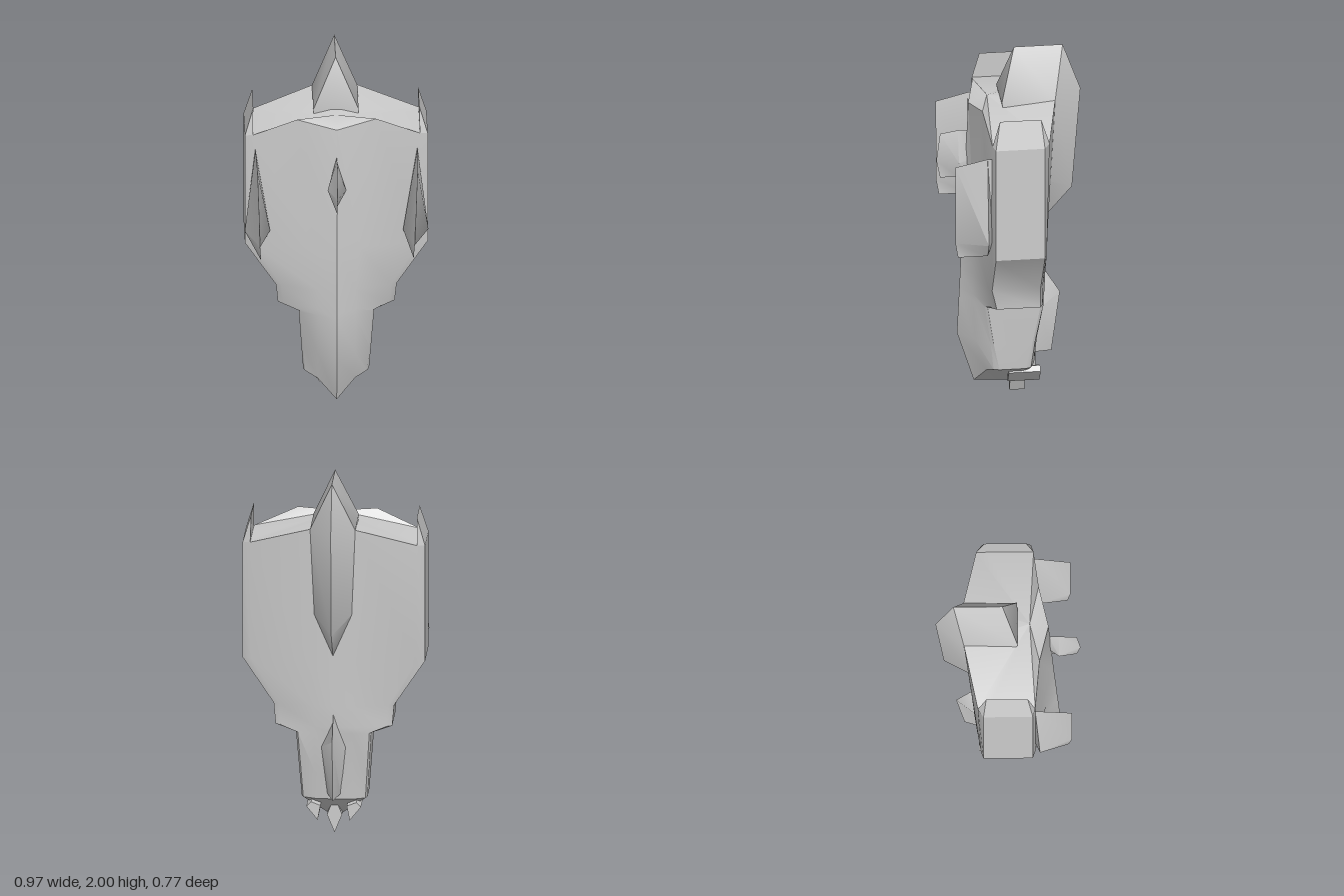
import * as THREE from 'three';
import { toCreasedNormals } from 'three/addons/utils/BufferGeometryUtils.js';

const material = new THREE.MeshStandardMaterial({ color: 0xcccccc, side: THREE.DoubleSide });

function addMesh(parent, name, geometry) {
  const mesh = new THREE.Mesh(geometry, material);
  mesh.name = name;
  parent.add(mesh);
}

// Skin rings (top to bottom, each counter-clockwise seen from above), with optional end fans
function loft(rings, crease, topApex, bottomApex) {
  const pos = [];
  const tri = (a, b, c) => {
    const [p, q, r] = [a, b, c].map((v) => new THREE.Vector3(...v));
    if (q.sub(p).cross(r.sub(p)).length() > 1e-7) pos.push(...a, ...b, ...c);
  };
  const last = rings.length - 1;
  rings[0].forEach((_, i, ring) => {
    const j = (i + 1) % ring.length;
    for (let r = 0; r < last; r++) {
      tri(rings[r][i], rings[r + 1][i], rings[r + 1][j]);
      tri(rings[r][i], rings[r + 1][j], rings[r][j]);
    }
    if (topApex) tri(topApex, rings[0][i], rings[0][j]);
    if (bottomApex) tri(bottomApex, rings[last][j], rings[last][i]);
  });
  const geo = new THREE.BufferGeometry();
  geo.setAttribute('position', new THREE.Float32BufferAttribute(pos, 3));
  return toCreasedNormals(geo, crease);
}

// Half ring from front centre round the left side to back centre, completed by mirroring
const mirrorRing = (half) => [...half, ...half.slice(1, -1).reverse().map(([x, y, z]) => [-x, y, z])];

// Level hull section: keel, facet beside it, bevelled flank, back facet and spine
function hullRing(y, keelZ, midX, midZ, flankX, inset, frontZ, backZ, spineZ) {
  return mirrorRing([
    [0, y, keelZ], [midX, y, midZ], [flankX - inset, y, frontZ + 0.015], [flankX, y, frontZ],
    [flankX, y, backZ], [flankX - inset, y, backZ - 0.015], [midX, y, spineZ + 0.01], [0, y, spineZ],
  ]);
}

// Fin section: straight sides that close to a ridge at the back
const finRing = (w, y, zFront, zSide, yBack, zBack) =>
  mirrorRing([[0, y, zFront], [w, y, zFront], [w, y, zSide], [0, yBack, zBack]]);

// Kite section: a front and a back point with one point to each side
const kiteRing = (front, [x, y, z], w, zSide) => [front, [x + w, y, zSide], [x, y, z], [x - w, y, zSide]];

// Prism with its outline in x/y, running from z0 to z1
function prism(outline, z0, z1) {
  const shape = new THREE.Shape(outline.map(([x, y]) => new THREE.Vector2(x, y)));
  return new THREE.ExtrudeGeometry(shape, { depth: z1 - z0, bevelEnabled: false }).translate(0, 0, z0);
}

export function createModel() {
  const model = new THREE.Group();
  model.name = 'shieldHull';

  // Hull: sloping shoulders at the top, stepped flanks, pointed chin
  const shoulders = mirrorRing([
    [0, 1.69, 0.215], [0.21, 1.73, 0.165], [0.44, 1.63, 0.14], [0.485, 1.62, 0.127],
    [0.485, 1.62, -0.135], [0.44, 1.63, -0.165], [0.12, 1.73, -0.235], [0, 1.73, -0.235],
  ]);
  const chin = mirrorRing([
    [0, 0.07, 0.185], [0.1, 0.17, 0.13], [0.165, 0.2, 0.1], [0.175, 0.2, 0.07],
    [0.175, 0.2, -0.07], [0.165, 0.2, -0.1], [0.1, 0.2, -0.125], [0, 0.2, -0.13],
  ]);
  const hull = [
    shoulders,
    hullRing(0.98, 0.245, 0.12, 0.195, 0.485, 0.045, 0.127, -0.135, -0.205),
    hullRing(0.73, 0.257, 0.1, 0.2, 0.32, 0.03, 0.127, -0.132, -0.195),
    hullRing(0.615, 0.262, 0.1, 0.2, 0.31, 0.03, 0.1, -0.132, -0.19),
    hullRing(0.58, 0.264, 0.1, 0.2, 0.2, 0.01, 0.135, -0.15, -0.185),
    hullRing(0.35, 0.275, 0.1, 0.19, 0.185, 0.01, 0.1, -0.105, -0.15),
    chin,
  ];
  addMesh(model, 'hull', loft(hull, 0.5, [0, 1.73, 0.115], [0, 0.06, 0]));

  // Tall fin down the back and a small one below it
  addMesh(model, 'dorsalFin', loft([
    finRing(0, 2, -0.03, -0.29, 2, -0.29),
    finRing(0.12, 1.73, 0.05, -0.235, 1.74, -0.385),
    finRing(0.1, 1.25, -0.05, -0.21, 1.17, -0.34),
    finRing(0, 1.02, -0.1, -0.21, 1.02, -0.21),
  ], 0.5));
  addMesh(model, 'lowerBackFin', loft([
    finRing(0, 0.69, -0.1, -0.15, 0.69, -0.195),
    finRing(0.065, 0.5, -0.1, -0.165, 0.56, -0.275),
    finRing(0.035, 0.23, -0.05, -0.13, 0.22, -0.23),
  ], 0.5, null, [0, 0.23, -0.1]));

  // Crest gem on the front
  addMesh(model, 'frontGem', loft([
    kiteRing([0, 1.515, 0.365], [0, 1.53, 0.215], 0, 0.27),
    kiteRing([0, 1.36, 0.385], [0, 1.36, 0.2], 0.05, 0.27),
    kiteRing([0, 1.26, 0.365], [0, 1.26, 0.2], 0, 0.27),
  ], 0.8));

  for (const [side, s] of [['left', 1], ['right', -1]]) {
    // Upright blade tip above each flank
    const tip = [
      [[0.44, 1.77, 0.1], [0.44, 1.77, 0.1], [0.44, 1.77, -0.12], [0.44, 1.77, -0.12]],
      [[0.443, 1.63, 0.14], [0.485, 1.62, 0.127], [0.485, 1.62, -0.135], [0.443, 1.63, -0.165]],
    ].map((ring) => {
      const placed = ring.map(([x, y, z]) => [s * x, y, z]);
      return s > 0 ? placed : placed.reverse();
    });
    addMesh(model, side + 'FlankTip', loft(tip, 0.5));

    // Forward-facing pod, widest low down
    addMesh(model, side + 'Pod', loft([
      kiteRing([s * 0.425, 1.51, 0.335], [s * 0.43, 1.55, 0.14], 0, 0.165),
      kiteRing([s * 0.41, 1.06, 0.335], [s * 0.42, 1.07, 0.135], 0.067, 0.165),
      kiteRing([s * 0.405, 0.975, 0.32], [s * 0.405, 0.975, 0.16], 0, 0.17),
    ], 0.8));

    // Slanted nozzle under the tail
    const outline = [[0.07, 0.17], [0.085, 0.09], [0.145, 0.165], [0.12, 0.19]];
    addMesh(model, side + 'Nozzle', prism(outline.map(([x, y]) => [s * x, y]), -0.155, 0.015));
  }

  // Centre nozzle
  addMesh(model, 'centreNozzle', prism([[0, 0], [0.04, 0.1], [0, 0.2], [-0.04, 0.1]], -0.085, -0.005));

  return model;
}
